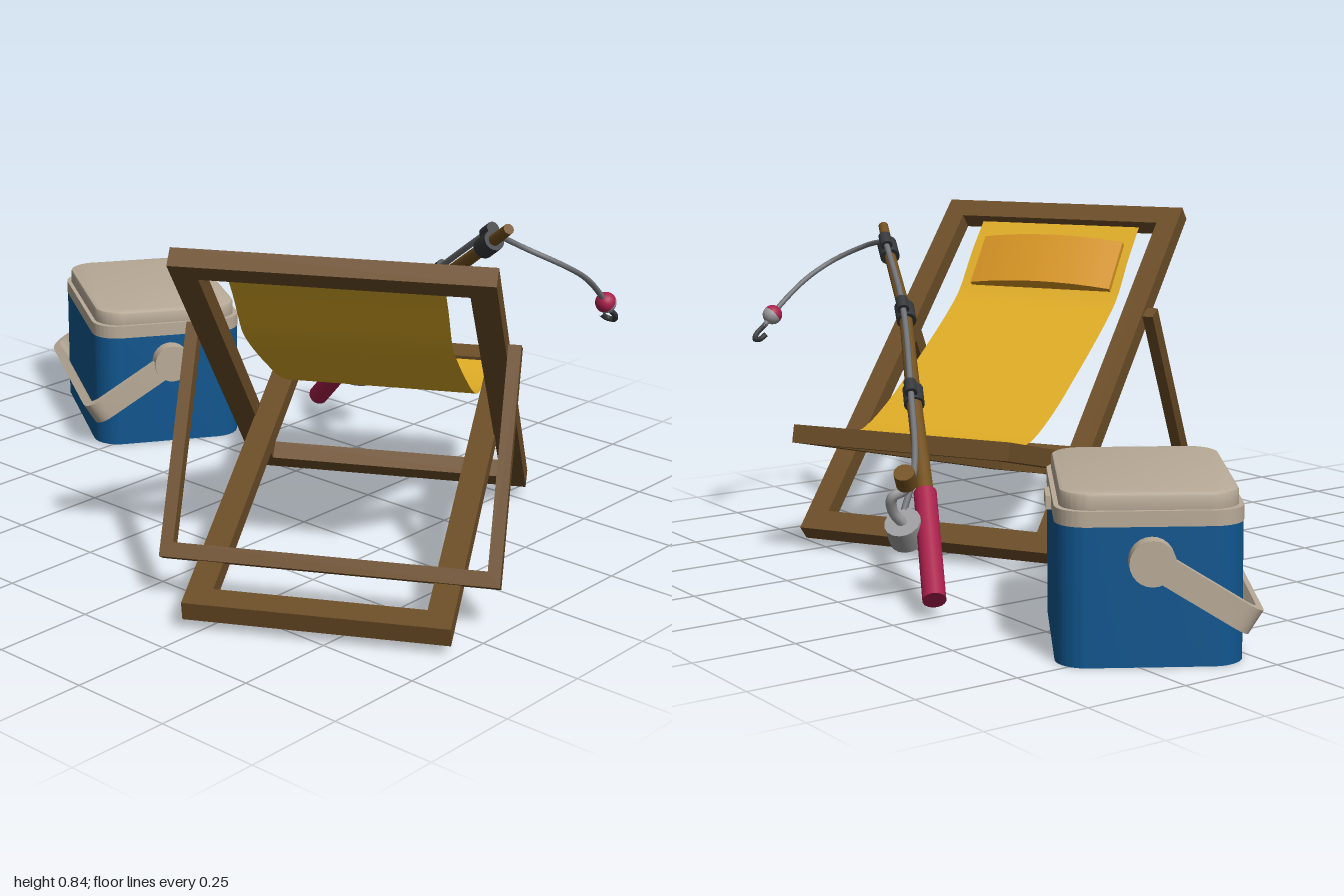
import * as THREE from 'three';
import { toCreasedNormals } from 'three/addons/utils/BufferGeometryUtils.js';

const mat = (name, color, extra = {}) =>
  Object.assign(new THREE.MeshStandardMaterial({ color, ...extra }), { name });
const V = (x, y, z) => new THREE.Vector3(x, y, z);

export function createModel() {
  const wood = mat('wood', 0x6c4d27);
  const cane = mat('rod brown', 0x72501f);
  const yellow = mat('yellow canvas', 0xdcaa25, { side: THREE.DoubleSide });
  const orange = mat('orange cushion', 0xd69424);
  const blue = mat('blue plastic', 0x10568f);
  const beige = mat('beige plastic', 0xb9ab98);
  const crimson = mat('crimson', 0xa81f4b);
  const dark = mat('dark fittings', 0x35373a);
  const grey = mat('light grey metal', 0x9c9c9e);
  const lineGrey = mat('line grey', 0x707276);

  const root = new THREE.Group();
  const group = (name, parent = root) => {
    const g = new THREE.Group();
    g.name = name;
    parent.add(g);
    return g;
  };
  const add = (parent, name, geo, material, pos = [0, 0, 0]) => {
    const m = new THREE.Mesh(geo, material);
    m.name = name;
    m.position.set(...pos);
    parent.add(m);
    return m;
  };
  // extrusion centred on its depth
  const slab = (shape, depth, opts = {}) => {
    const g = new THREE.ExtrudeGeometry(shape, { depth, bevelEnabled: false, curveSegments: 8, ...opts });
    g.translate(0, 0, -depth / 2);
    return toCreasedNormals(g, 0.6);
  };
  const rectPoints = (hw, hl) => [[-hw, -hl], [hw, -hl], [hw, hl], [-hw, hl]].map(p => new THREE.Vector2(...p));
  const roundRect = (w, h, r) => {
    const s = new THREE.Shape();
    const x = w / 2, y = h / 2;
    s.moveTo(-x + r, -y);
    s.lineTo(x - r, -y); s.absarc(x - r, -y + r, r, -Math.PI / 2, 0);
    s.lineTo(x, y - r); s.absarc(x - r, y - r, r, 0, Math.PI / 2);
    s.lineTo(-x + r, y); s.absarc(-x + r, y - r, r, Math.PI / 2, Math.PI);
    s.lineTo(-x, -y + r); s.absarc(-x + r, -y + r, r, Math.PI, Math.PI * 1.5);
    return s;
  };
  // U outline: open at y = 0, closed at y = len
  const uShape = (hw, len, t, bar, r) => {
    const s = new THREE.Shape();
    const ri = Math.max(r - t, 0.001);
    s.moveTo(-hw, 0);
    s.lineTo(-hw + t, 0);
    s.lineTo(-hw + t, len - bar - ri);
    s.quadraticCurveTo(-hw + t, len - bar, -hw + t + ri, len - bar);
    s.lineTo(hw - t - ri, len - bar);
    s.quadraticCurveTo(hw - t, len - bar, hw - t, len - bar - ri);
    s.lineTo(hw - t, 0);
    s.lineTo(hw, 0);
    s.lineTo(hw, len - r);
    s.quadraticCurveTo(hw, len, hw - r, len);
    s.lineTo(-hw + r, len);
    s.quadraticCurveTo(-hw, len, -hw, len - r);
    return s;
  };
  const rad = THREE.MathUtils.degToRad;

  // ---- deck chair ----
  const chair = group('deckChair');
  chair.position.set(0.327, 0, -0.189);
  chair.rotation.y = rad(30);
  const frame = (name, hw, len, rail, y, z, slope) => {
    const s = new THREE.Shape(rectPoints(hw, len / 2));
    s.holes.push(new THREE.Path(rectPoints(hw - rail, len / 2 - rail).reverse()));
    add(chair, name, slab(s, 0.046), wood, [0, y, z]).rotation.x = rad(90 - slope);
  };
  frame('backFrame', 0.36, 1.18, 0.06, 0.4325, 0.235, 42);
  frame('seatFrame', 0.302, 1.173, 0.06, 0.187, 0.232, -14);
  add(chair, 'propFrame', slab(uShape(0.39, 0.55, 0.03, 0.035, 0.001), 0.04), wood, [0, 0.585, 0.385])
    .rotation.x = rad(151);

  // sling hanging from the high bar to the seat bar
  const sag = new THREE.CatmullRomCurve3([
    [0.8, 0.64], [0.71, 0.555], [0.605, 0.47], [0.56, 0.41], [0.51, 0.33], [0.435, 0.2],
    [0.35, 0.04], [0.302, -0.1], [0.312, -0.22], [0.345, -0.325],
  ].map(([y, z]) => V(0, y, z)));
  const cloth = new THREE.PlaneGeometry(0.484, 1, 1, 30);
  const cp = cloth.attributes.position;
  for (let i = 0; i < cp.count; i++) {
    const p = sag.getPoint(0.5 - cp.getY(i));
    cp.setXYZ(i, cp.getX(i), p.y, p.z);
  }
  cloth.computeVertexNormals();
  add(chair, 'sling', cloth, yellow);

  // head cushion with a bulged upper face
  const cushion = new THREE.Shape();
  cushion.moveTo(-0.212, 0);
  cushion.lineTo(0.212, 0);
  cushion.lineTo(0.212, 0.014);
  cushion.quadraticCurveTo(0, 0.06, -0.212, 0.014);
  add(chair, 'headCushion', slab(cushion, 0.155), orange, [-0.005, 0.682, 0.532]).rotation.x = rad(-51);

  // ---- cool box ----
  const cooler = group('coolBox');
  cooler.position.set(-0.632, 0, -0.333);
  cooler.rotation.y = rad(-33);
  const layer = (name, w, d, r, y0, y1, material, opts) => {
    add(cooler, name, slab(roundRect(w, d, r), y1 - y0, opts), material, [0, (y0 + y1) / 2, 0])
      .rotation.x = -Math.PI / 2;
  };
  const bevel = { bevelEnabled: true, bevelSize: 0.008, bevelThickness: 0.008, bevelSegments: 2 };
  layer('body', 0.535, 0.405, 0.07, 0, 0.306, blue);
  layer('lidRim', 0.537, 0.407, 0.07, 0.306, 0.34, beige);
  layer('lidTop', 0.5, 0.37, 0.062, 0.33, 0.369, beige, bevel);
  add(cooler, 'latch', new THREE.BoxGeometry(0.1, 0.03, 0.02), beige, [0, 0.312, -0.205]);
  for (const s of [-1, 1]) {
    add(cooler, 'handlePivot', new THREE.CylinderGeometry(0.05, 0.05, 0.045, 24), beige, [s * 0.285, 0.235, 0])
      .rotation.z = Math.PI / 2;
  }
  add(cooler, 'handle', slab(uShape(0.298, 0.265, 0.02, 0.02, 0.05), 0.06), beige, [0, 0.235, 0])
    .rotation.x = rad(122);

  // ---- fishing rod ----
  const rod = group('fishingRod');
  const up = V(0, 1, 0);
  const cyl = (name, a, b, ra, rb, material) => {
    const d = b.clone().sub(a);
    const m = add(rod, name, new THREE.CylinderGeometry(rb, ra, d.length(), 16), material);
    m.position.copy(a).addScaledVector(d, 0.5);
    m.quaternion.setFromUnitVectors(up, d.normalize());
  };
  const tube = (name, pts, r, material) =>
    add(rod, name, new THREE.TubeGeometry(new THREE.CatmullRomCurve3(pts), pts.length * 8, r, 8), material);

  const grip = [V(-0.272, 0.048, -0.652), V(-0.05, 0.245, -0.535)];
  const shaft = [grip[1], V(0.2, 0.43, -0.41), V(0.43, 0.605, -0.29), V(0.63, 0.75, -0.218), V(0.71, 0.808, -0.185)];
  const axis = V(-0.35, 0.75, -0.45).normalize();
  cyl('grip', grip[0], grip[1], 0.028, 0.028, crimson);
  for (let i = 0; i < 4; i++) {
    cyl('shaft', shaft[i], shaft[i + 1], 0.021 - i * 0.002, 0.019 - i * 0.002, cane);
  }

  // guides clamped round the shaft, each with a small line eye
  const lifted = shaft.map(p => p.clone().addScaledVector(axis, 0.034));
  for (let i = 1; i < 4; i++) {
    const d = shaft[i + 1].clone().sub(shaft[i - 1]).normalize();
    const around = (p, h) => [p.clone().addScaledVector(d, -h), p.clone().addScaledVector(d, h)];
    cyl('guideClamp', ...around(shaft[i], 0.028), 0.026, 0.026, dark);
    cyl('guideEye', ...around(lifted[i], 0.02), 0.016, 0.016, dark);
  }

  // reel, crank and knob
  const reel = V(-0.088, 0.172, -0.615);
  const along = (h) => reel.clone().addScaledVector(axis, h);
  cyl('reelFoot', reel, V(-0.085, 0.214, -0.553), 0.014, 0.014, grey);
  cyl('reelDrum', along(-0.03), along(0.03), 0.044, 0.044, grey);
  tube('crank', [along(0.025), V(-0.1, 0.225, -0.655), V(-0.115, 0.262, -0.665), V(-0.13, 0.28, -0.64), V(-0.14, 0.3, -0.643)], 0.013, grey);
  cyl('crankKnob', V(-0.131, 0.292, -0.635), V(-0.15, 0.326, -0.654), 0.025, 0.025, cane);

  // line along the shaft, then hanging off the tip
  tube('line', [V(-0.075, 0.215, -0.61), V(-0.01, 0.295, -0.54), lifted[1], lifted[2], lifted[3]], 0.008, lineGrey);
  tube('hangingLine', [lifted[3], V(0.73, 0.755, -0.23), V(0.795, 0.715, -0.29), V(0.803, 0.67, -0.37),
    V(0.79, 0.61, -0.455), V(0.785, 0.552, -0.515)], 0.007, lineGrey);

  // two-tone float and hook
  const float = group('float', rod);
  float.position.set(0.788, 0.58, -0.487);
  float.quaternion.setFromUnitVectors(up, V(0, 0.62, 0.78).normalize());
  add(float, 'floatUpper', new THREE.SphereGeometry(0.026, 20, 8, 0, Math.PI * 2, 0, Math.PI / 2), crimson);
  add(float, 'floatLower', new THREE.SphereGeometry(0.026, 20, 8, 0, Math.PI * 2, Math.PI / 2, Math.PI / 2), grey);
  tube('hook', [V(0.785, 0.556, -0.511), V(0.786, 0.535, -0.535), V(0.774, 0.521, -0.548),
    V(0.757, 0.522, -0.543), V(0.75, 0.535, -0.527)], 0.007, dark);

  return root;
}
